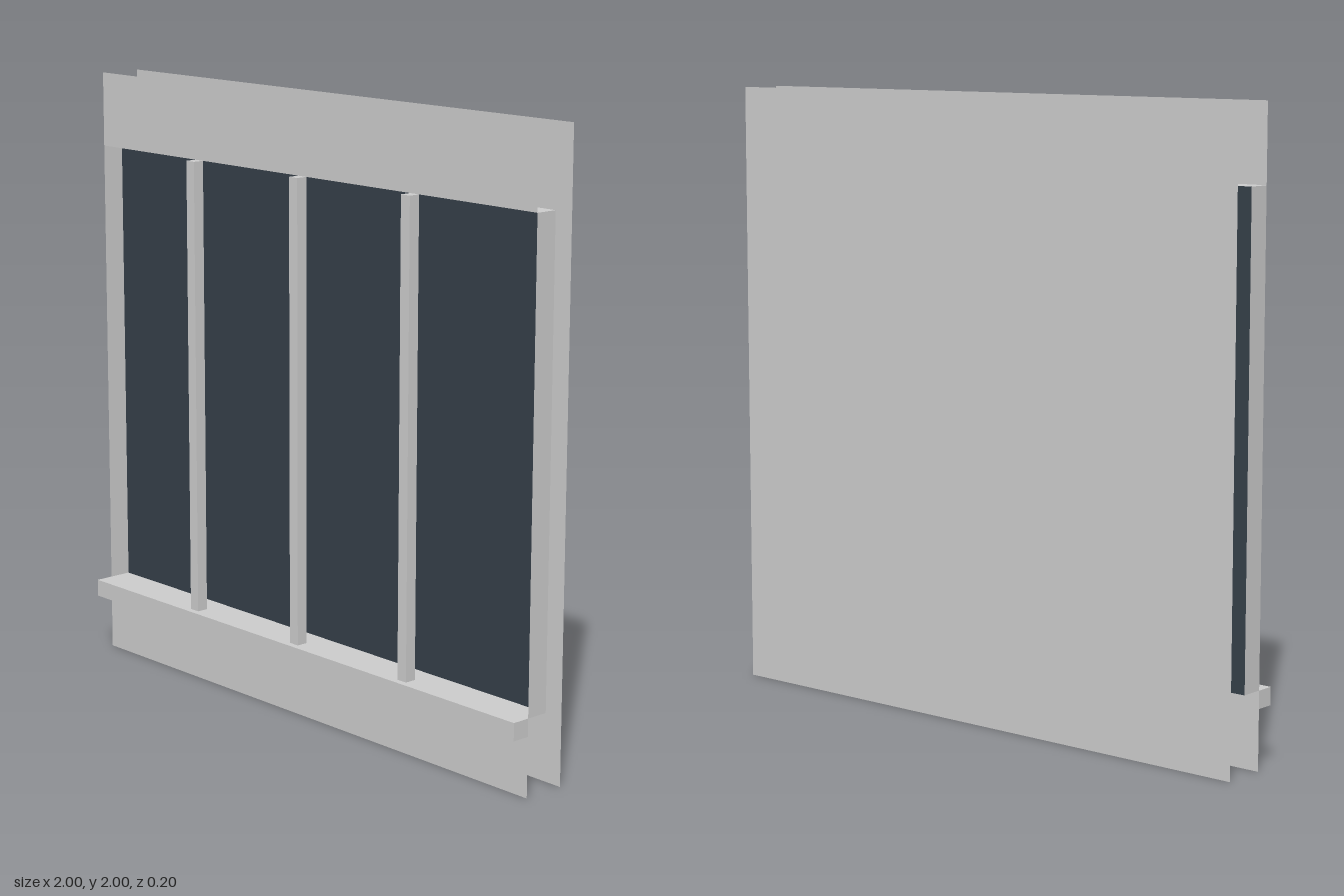
import * as THREE from 'three';

const WALL_Z = 0.042, GLASS_Z = -0.033, BACK_Z = -0.102;
const BAR_Z = 0.08, SILL_Z = 0.102;
const BOTTOM = 0.25, TOP = 1.755; // window opening heights

export function createModel() {
  const model = new THREE.Group();
  const grey = new THREE.MeshStandardMaterial({ color: 0xcccccc, side: THREE.DoubleSide });
  const dark = new THREE.MeshStandardMaterial({ color: 0x353f48, side: THREE.DoubleSide });

  const add = (name, geometry, material, x, y, z) => {
    const mesh = new THREE.Mesh(geometry, material);
    mesh.name = name;
    mesh.position.set(x, y, z);
    model.add(mesh);
    return mesh;
  };
  // Upright sheet across the full width, between two heights
  const sheet = (name, y0, y1, z, material = grey) =>
    add(name, new THREE.PlaneGeometry(2, y1 - y0), material, 0, (y0 + y1) / 2, z);
  // Solid block between two heights and two depths
  const block = (name, width, x, y0, y1, z0, z1) =>
    add(name, new THREE.BoxGeometry(width, y1 - y0, z1 - z0), grey, x, (y0 + y1) / 2, (z0 + z1) / 2);

  // Wall skins: front strips above and below the window, full sheet behind
  sheet('frontWallLower', 0, BOTTOM, WALL_Z);
  sheet('frontWallUpper', TOP, 2, WALL_Z);
  sheet('backWall', 0, 2, BACK_Z).rotation.y = Math.PI;

  // Recessed glass band
  sheet('glass', BOTTOM, TOP, GLASS_Z, dark);

  // Reveals lining the opening
  const depth = WALL_Z - GLASS_Z, midZ = (WALL_Z + GLASS_Z) / 2;
  for (const s of [-1, 1]) {
    const side = add(s > 0 ? 'leftReveal' : 'rightReveal',
      new THREE.PlaneGeometry(depth, TOP - BOTTOM), grey, s, (TOP + BOTTOM) / 2, midZ);
    side.rotation.y = s * Math.PI / 2;
    const level = add(s > 0 ? 'topReveal' : 'bottomReveal',
      new THREE.PlaneGeometry(2, depth), grey, 0, s > 0 ? TOP : BOTTOM, midZ);
    level.rotation.x = -Math.PI / 2;
  }

  // Sill and the upright bars standing on it
  block('sill', 2, 0, 0.193, BOTTOM, WALL_Z, SILL_Z);
  for (const x of [-0.5, 0, 0.5]) block('mullion', 0.038, x, BOTTOM, TOP, WALL_Z, BAR_Z);

  return model;
}
